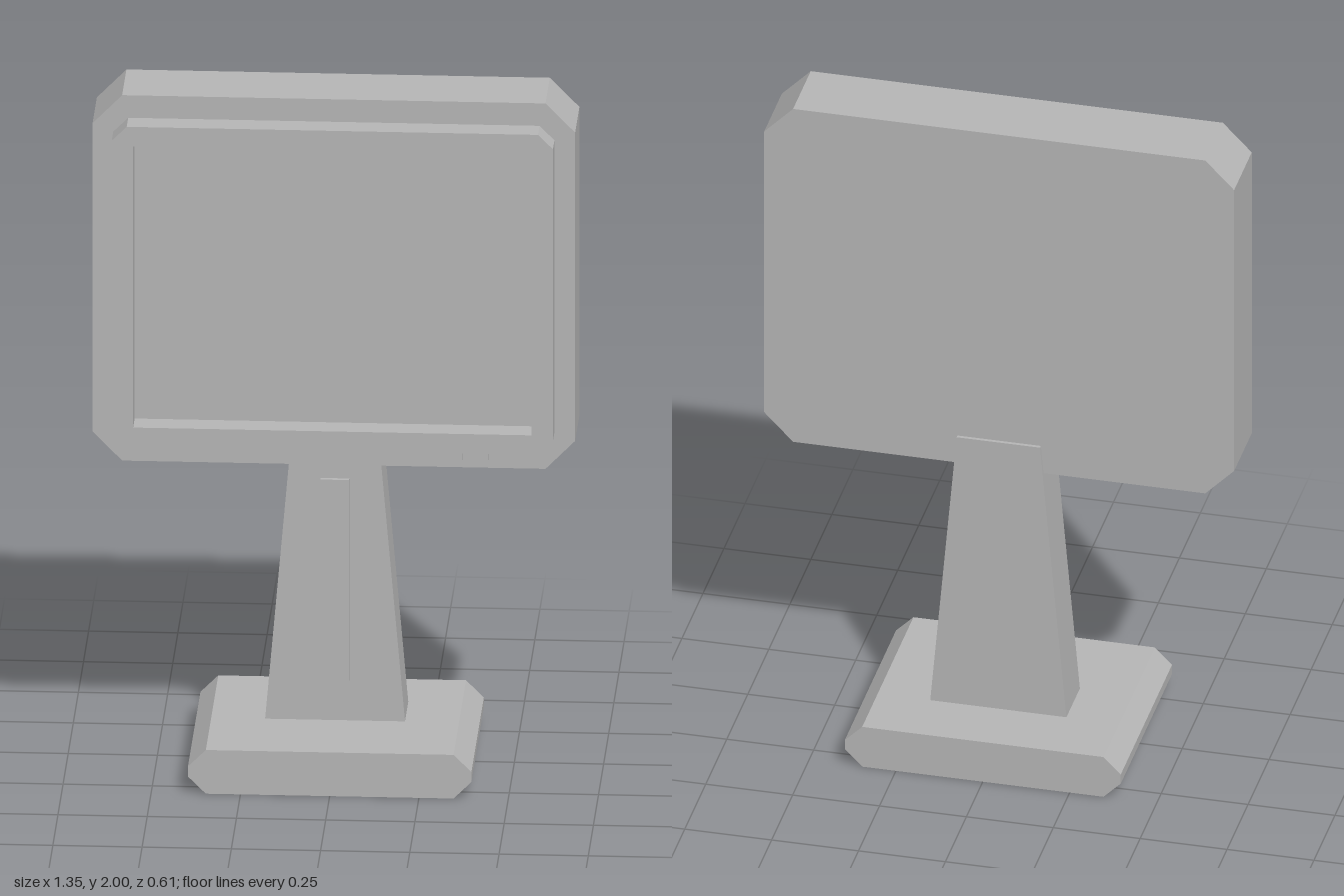
import * as THREE from 'three';

export function createModel() {
  const model = new THREE.Group();
  model.name = 'monitor';
  const grey = new THREE.MeshStandardMaterial({ color: 0xb6b6b6 });
  grey.name = 'grey plastic';

  // Rectangle with cut corners, centred on x = 0
  function cutRect(halfW, y0, y1, cx, cy) {
    return new THREE.Shape([
      [-halfW + cx, y0], [halfW - cx, y0], [halfW, y0 + cy], [halfW, y1 - cy],
      [halfW - cx, y1], [-halfW + cx, y1], [-halfW, y1 - cy], [-halfW, y0 + cy],
    ].map(([x, y]) => new THREE.Vector2(x, y)));
  }

  // Extrude a front outline between two depths
  function slab(name, shape, z0, z1) {
    const geometry = new THREE.ExtrudeGeometry(shape, { depth: z1 - z0, bevelEnabled: false });
    geometry.translate(0, 0, z0);
    const mesh = new THREE.Mesh(geometry, grey);
    mesh.name = name;
    model.add(mesh);
  }

  function box(name, x0, x1, y0, y1, z0, z1) {
    const mesh = new THREE.Mesh(new THREE.BoxGeometry(x1 - x0, y1 - y0, z1 - z0), grey);
    mesh.position.set((x0 + x1) / 2, (y0 + y1) / 2, (z0 + z1) / 2);
    mesh.name = name;
    model.add(mesh);
  }

  // Foot with cut side edges
  slab('base', cutRect(0.397, 0, 0.13, 0.05, 0.05), -0.305, 0.305);

  // Tapered stand, its top standing slightly proud of the housing back
  const taper = [[-0.196, 0.13], [0.196, 0.13], [0.12, 1.0], [-0.12, 1.0]];
  slab('stand', new THREE.Shape(taper.map(([x, y]) => new THREE.Vector2(x, y))), -0.12, 0.04);
  box('standStrip', -0.04, 0.04, 0.25, 0.85, 0.03, 0.053);

  // Screen housing, whose front face is the screen inside the frame
  slab('housing', cutRect(0.676, 0.912, 2.0, 0.083, 0.085), -0.11, 0.1);

  // Raised frame around the screen
  const frame = cutRect(0.618, 0.98, 1.933, 0.042, 0.042);
  frame.holes.push(new THREE.Path([
    [-0.558, 1.038], [-0.558, 1.875], [0.558, 1.875], [0.558, 1.038],
  ].map(([x, y]) => new THREE.Vector2(x, y))));
  slab('screenFrame', frame, 0.1, 0.174);

  // Front strip and buttons
  box('frontStrip', -0.308, 0.18, 0.936, 0.96, 0.09, 0.115);
  for (const x of [0.346, 0.42, 0.494]) {
    box('button', x - 0.014, x + 0.014, 0.936, 0.96, 0.09, 0.115);
  }
  return model;
}
